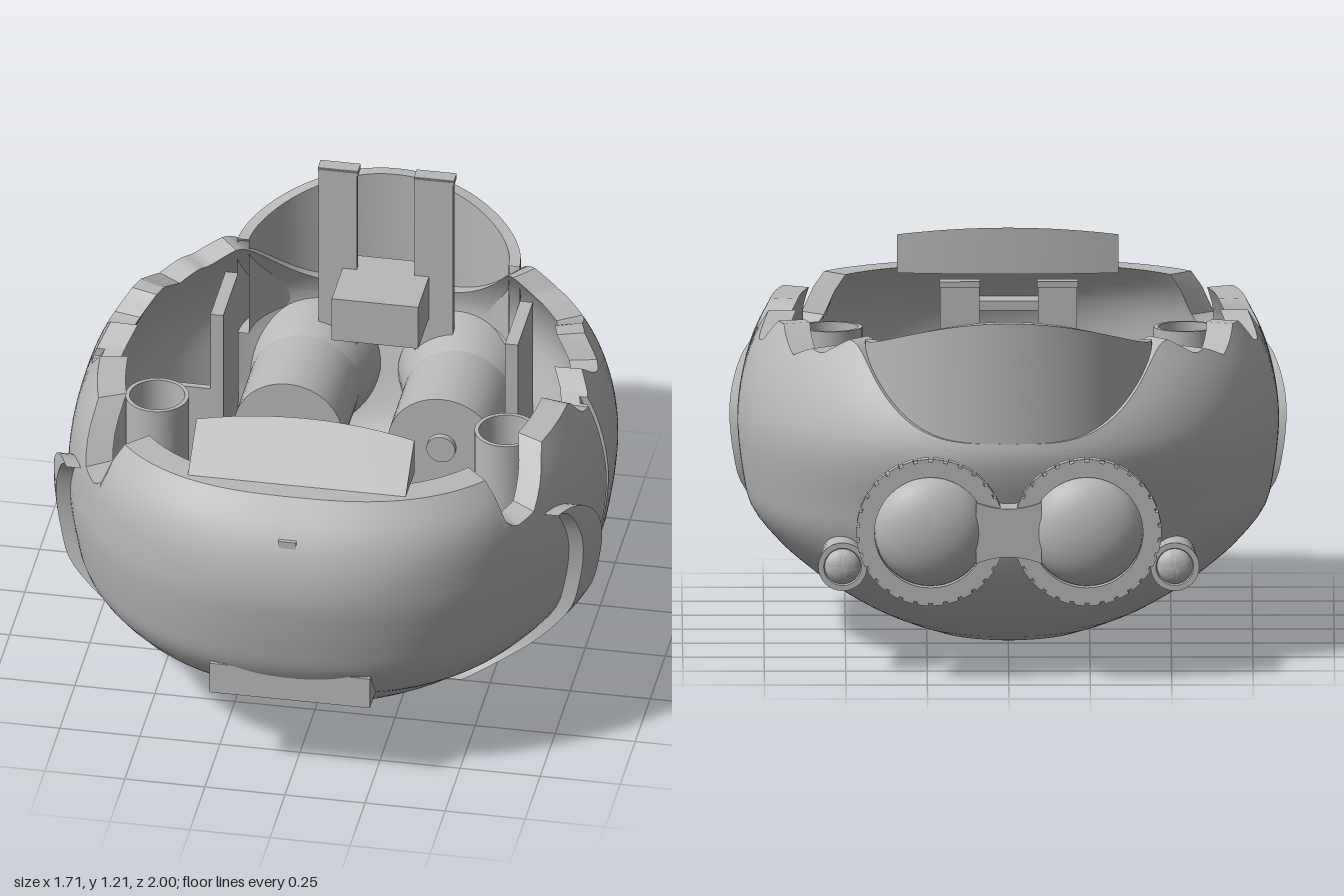
import * as THREE from 'three';
import { toCreasedNormals } from 'three/addons/utils/BufferGeometryUtils.js';

const grey = new THREE.MeshStandardMaterial({ color: 0xb8b8b8, side: THREE.DoubleSide });
grey.name = 'plain grey';

// hull profile: height, half width, front reach, back reach
const PROFILE = [
  [0, 0.16, 0.23, 0.2], [0.02, 0.24, 0.35, 0.31], [0.05, 0.32, 0.47, 0.42], [0.1, 0.43, 0.6, 0.56],
  [0.17, 0.55, 0.7, 0.66], [0.23, 0.63, 0.77, 0.72], [0.3, 0.71, 0.86, 0.77], [0.4, 0.79, 0.935, 0.81],
  [0.5, 0.815, 0.965, 0.84], [0.62, 0.83, 0.99, 0.88], [0.7, 0.83, 1, 0.89], [0.8, 0.815, 0.99, 0.86],
  [0.9, 0.785, 0.95, 0.8], [1, 0.735, 0.87, 0.72],
];
// broken rim on each side: z, height
const RIM = [
  [-0.56, 1], [-0.5, 0.95], [-0.46, 0.96], [-0.4, 0.93], [-0.33, 0.97], [-0.28, 1], [-0.22, 1], [-0.17, 0.935],
  [-0.12, 0.925], [-0.07, 0.95], [-0.02, 1], [0.02, 0.95], [0.07, 0.925], [0.12, 0.94], [0.17, 1],
  [0.42, 1], [0.47, 0.93], [0.53, 0.85], [0.6, 0.84], [0.64, 0.88], [0.655, 1],
];

function rimAt(z) {
  if (z <= RIM[0][0]) return 1;
  const i = RIM.findIndex(p => z <= p[0]);
  if (i < 0) return 1;
  const [a, b] = [RIM[i - 1], RIM[i]];
  return a[1] + (b[1] - a[1]) * (z - a[0]) / (b[0] - a[0]);
}

// smooth curve through one column of the hull profile
function profile(y, col) {
  const last = PROFILE.length - 1;
  const slope = i => {
    const a = PROFILE[Math.max(i - 1, 0)], b = PROFILE[Math.min(i + 1, last)];
    return (b[col] - a[col]) / (b[0] - a[0]);
  };
  let i = 0;
  while (i < last - 1 && y > PROFILE[i + 1][0]) i++;
  const a = PROFILE[i], b = PROFILE[i + 1], h = b[0] - a[0], t = (y - a[0]) / h, u = 1 - t;
  return u * u * (1 + 2 * t) * a[col] + t * t * (3 - 2 * t) * b[col] + h * t * u * (u * slope(i) - t * slope(i + 1));
}

// squareness of the hull plan, fuller in front and towards the rim
const planPower = (y, front) => (front ? 2.3 + 0.3 * THREE.MathUtils.smoothstep(y, 0.7, 1) : 2.15);

// grid of (nu + 1) x (nv + 1) points joined into a surface
function surface(nu, nv, point, skip = () => false) {
  const pos = [], idx = [];
  for (let i = 0; i <= nu; i++) for (let j = 0; j <= nv; j++) pos.push(...point(i, j));
  for (let i = 0; i < nu; i++) for (let j = 0; j < nv; j++) {
    if (skip(i, j)) continue;
    const a = i * (nv + 1) + j, b = a + nv + 1;
    idx.push(a, a + 1, b, b, a + 1, b + 1);
  }
  const g = new THREE.BufferGeometry();
  g.setAttribute('position', new THREE.Float32BufferAttribute(pos, 3));
  g.setIndex(idx);
  return toCreasedNormals(g, 0.6);
}

function add(parent, name, geometry, x = 0, y = 0, z = 0) {
  const m = new THREE.Mesh(geometry, grey);
  m.name = name;
  m.position.set(x, y, z);
  parent.add(m);
  return m;
}
const box = (w, h, d) => new THREE.BoxGeometry(w, h, d);

function hullGeometry() {
  const inGroove = a => [0, Math.PI].some(c => Math.abs(Math.abs(a - c) - 0.058) < 0.0125 && Math.sin(a) > 0);
  const cols = [];
  for (let i = 0; i <= 240; i++) {
    const a = -Math.PI / 2 + i * Math.PI / 120;
    if (!inGroove(a)) cols.push(a);
  }
  for (const a of [0.045, 0.0465, 0.0695, 0.071]) cols.push(a, Math.PI - a);
  cols.sort((p, q) => p - q);

  const rows = [0, 0.02, 0.05, 0.08];
  for (let y = 0.1; y < 0.305; y += 0.0125) rows.push(y);
  for (let y = 0.34; y < 0.99; y += 0.033) rows.push(y);
  rows.push(1);
  const n = rows.length;

  const radius = (a, y) => {
    const p = planPower(y, Math.sin(a) > 0);
    return (Math.abs(Math.cos(a)) ** p + Math.abs(Math.sin(a)) ** p) ** (-1 / p);
  };
  const rimHeight = a => {
    const s = Math.sin(a), z = s * radius(a, 1) * (s > 0 ? 0.87 : 0.72);
    return s < -0.76 ? 1 - 0.27 * THREE.MathUtils.smoothstep(-s, 0.76, 1) : rimAt(z);
  };
  // position of (a, y) relative to the round floor openings
  const holeAt = (a, y, inner) => {
    const side = Math.cos(a) < 0 ? -1 : 1;
    const b = side < 0 ? Math.PI - a : a;
    const c = inner ? [0.32, 0.235, 0.125, 0.055] : [0.315, 0.172, 0.115, 0.052];
    return { side, c, u: (b - c[0]) / c[2], v: (y - c[1]) / c[3] };
  };
  // the section runs up the outside and back down the inside
  const at = j => (j <= n ? { inner: false, k: j - 1 } : { inner: true, k: 2 * n - j });
  const inHole = (i, j) => {
    const { inner, k } = at(j);
    if (k < 0) return false;
    const h = holeAt(cols[i], rows[k], inner);
    return Math.hypot(h.u, h.v) < 1;
  };
  const point = (i, j) => {
    const { inner, k } = at(j);
    if (k < 0) return [0, inner ? 0.05 : 0, 0];
    let a = cols[i], y = rows[k];
    const h = holeAt(a, y, inner), d = Math.hypot(h.u, h.v);
    if (d < 1 && d > 0) {
      a = h.c[0] + h.u / d * h.c[2];
      if (h.side < 0) a = Math.PI - a;
      y = h.c[1] + h.v / d * h.c[3];
    }
    const rim = rimHeight(a);
    if (y > 0.7) y = 0.7 + (y - 0.7) * (rim - 0.7) / 0.3;
    // keep the seam upright where the hull narrows
    const centre = Math.cos(a) > 0 ? 0 : Math.PI, b = a - centre;
    const stretch = Math.min(1 / profile(y, 2), 1.6) - 1;
    a += b * stretch * (1 - THREE.MathUtils.clamp((Math.abs(b) - 0.09) / 0.11, 0, 1));
    const inset = inner ? 0.085 : (inGroove(cols[i]) && y > 0.02 ? 0.025 : 0);
    const s = Math.sin(a), r = radius(a, y);
    return [
      (profile(y, 1) - inset) * Math.cos(a) * r,
      inner ? y + 0.05 * (1 - y / rim) : y,
      (profile(y, s > 0 ? 2 : 3) - inset) * s * r,
    ];
  };
  const skip = (i, j) => inHole(i, j) && inHole(i + 1, j) && inHole(i, j + 1) && inHole(i + 1, j + 1);
  return surface(cols.length - 1, 2 * n + 1, point, skip);
}

// raised crescent lying on the hull side
function crescentGeometry() {
  return surface(32, 8, (i, j) => {
    const t = -Math.cos(i / 32 * Math.PI), y = 0.505 + 0.315 * t;
    const w = Math.sqrt(Math.max(0, 1 - t * t));
    const k = j === 8 ? 0 : THREE.MathUtils.clamp((j - 1) / 5, 0, 1);
    const z = 0.545 - w * (0.285 - 0.15 * k), p = planPower(y, true);
    const x = profile(y, 1) * (1 - (z / profile(y, 2)) ** p) ** (1 / p);
    return [x + (j >= 1 && j <= 6 ? 0.045 : -0.03), y, z];
  });
}

// curved wall standing above the back of the hull
function backWallGeometry() {
  return surface(40, 4, (i, j) => {
    const a = i / 40 * Math.PI, inner = j === 2 || j === 3 ? 0.035 : 0;
    const top = 1 + 0.105 * Math.sin(a) ** 2;
    return [(0.44 - inner) * Math.cos(a), j === 1 || j === 2 ? top : 0.66, -0.56 - (0.325 - inner) * Math.sin(a)];
  });
}

// sloped wedge with a bowed ridge on the front rim
function wedgeGeometry() {
  const shape = new THREE.Shape([[0.81, 0.995], [0.66, 1.115], [0.66, 0.995]].map(p => new THREE.Vector2(...p)));
  const g = new THREE.ExtrudeGeometry(shape, { depth: 0.68, steps: 12, bevelEnabled: false });
  g.translate(0, 0, -0.34).rotateY(-Math.PI / 2);
  const p = g.attributes.position;
  for (let i = 0; i < p.count; i++) {
    if (p.getZ(i) > 0.7) continue;
    const bow = 0.025 * (1 - (p.getX(i) / 0.34) ** 2);
    p.setZ(i, p.getZ(i) - bow);
    if (p.getY(i) > 1.05) p.setY(i, p.getY(i) + bow);
  }
  return toCreasedNormals(g, 0.5);
}

// turned part whose axis points to the back; points are radius, distance back
function turned(points, sides = 48) {
  const g = new THREE.LatheGeometry(points.map(p => new THREE.Vector2(...p)), sides);
  return toCreasedNormals(g.rotateX(-Math.PI / 2), 0.6);
}
const dome = (r, from, to) => Array.from({ length: 9 }, (_, i) => {
  const t = i / 8 * Math.PI / 2;
  return [r * Math.cos(t), from + (to - from) * Math.sin(t)];
});

function sideParts() {
  const g = new THREE.Group();
  add(g, 'sideCrescent', crescentGeometry());

  // eyepiece with a knurled rim
  add(g, 'eyepieceBody', turned([[0.17, 0.62], [0.213, 0.74], [0.213, 0.9], [0.22, 0.9], [0.22, 0.945], [0.172, 0.945], [0.172, 0.91]]), 0.24, 0.465);
  add(g, 'eyepieceLens', turned(dome(0.172, 0.91, 1)), 0.24, 0.465);
  for (let i = 0; i < 30; i++) {
    const a = i / 30 * Math.PI * 2;
    const tooth = add(g, 'rimTooth', box(0.016, 0.034, 0.04), 0.24 + 0.22 * Math.cos(a), 0.465 + 0.22 * Math.sin(a), -0.925);
    tooth.rotation.z = a;
  }

  // small pod beside the eyepiece
  add(g, 'pod', turned([[0.06, 0.52], [0.075, 0.81], [0.058, 0.81], ...dome(0.055, 0.8, 0.83)], 32), 0.51, 0.335);

  // upright tube rising from the floor opening, cut to the slope of the hull
  const tube = new THREE.LatheGeometry([[0.085, 0], [0.098, 0], [0.098, 0.73], [0.085, 0.73], [0.085, 0]].map(p => new THREE.Vector2(...p)), 32);
  const p = tube.attributes.position;
  for (let i = 0; i < p.count; i++) if (p.getY(i) < 0.1) p.setY(i, p.getX(i) * 0.72 + 0.025);
  add(g, 'floorTube', toCreasedNormals(tube, 0.6), 0.545, 0.175, 0.22);

  // inner drum, bulkhead and post
  add(g, 'innerDrum', turned([[0, 0.335], [0.17, 0.335], [0.17, 0.645], [0, 0.645]]), 0.24, 0.465);
  add(g, 'drumShaft', turned([[0, 0.315], [0.045, 0.315], [0.045, 0.34]], 24), 0.24, 0.465);
  add(g, 'bulkhead', box(0.14, 0.3, 0.02), 0.52, 0.45, -0.33);
  add(g, 'bulkheadSide', box(0.04, 0.58, 0.25), 0.46, 0.58, -0.445);
  add(g, 'post', box(0.12, 0.65, 0.022), 0.15, 0.88, -0.69);
  add(g, 'postHook', box(0.125, 0.018, 0.045), 0.15, 1.2, -0.705);
  return g;
}

export function createModel() {
  const model = new THREE.Group();
  model.name = 'openHull';
  add(model, 'hull', hullGeometry());
  add(model, 'backWall', backWallGeometry());
  add(model, 'frontWedge', wedgeGeometry());
  add(model, 'frontLip', box(0.5, 0.105, 0.1), 0, 0.347, 0.87);
  add(model, 'frontTab', box(0.055, 0.035, 0.03), 0, 0.878, 0.95);
  add(model, 'frontBracket', box(0.2, 0.03, 0.1), 0, 0.87, 0.84);

  // bridge between the eyepieces, slightly narrower in the middle
  const bridge = new THREE.Shape();
  bridge.moveTo(-0.1, 0.37);
  bridge.quadraticCurveTo(0, 0.41, 0.1, 0.37);
  bridge.lineTo(0.1, 0.56);
  bridge.quadraticCurveTo(0, 0.52, -0.1, 0.56);
  add(model, 'bridge', new THREE.ExtrudeGeometry(bridge, { depth: 0.13, bevelEnabled: false }), 0, 0, -0.955);
  add(model, 'innerBlock', box(0.27, 0.15, 0.26), 0, 0.78, -0.63);

  for (const side of [1, -1]) {
    const g = sideParts();
    g.name = side > 0 ? 'leftParts' : 'rightParts';
    g.scale.x = side;
    model.add(g);
  }
  return model;
}
